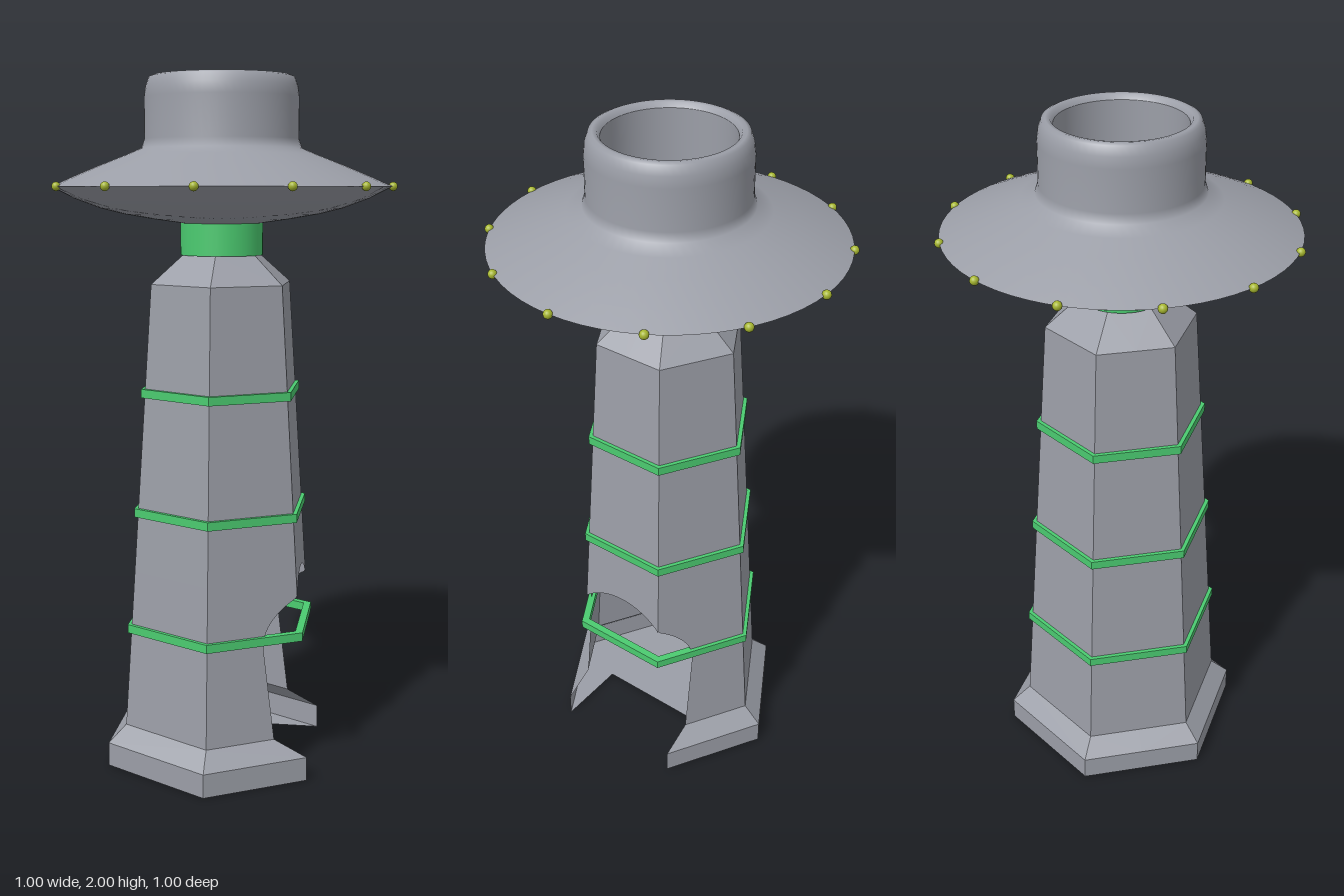
import * as THREE from 'three';

const S3 = Math.sqrt(3);
// tower outline: [height, hexagon corner radius]
const OUTLINE = [[0, 0.36], [0.07, 0.36], [0.12, 0.305], [1.42, 0.215], [1.5, 0.12]];
const ARCH = { half: 0.2, spring: 0.385, depth: 0.06 };

function radiusAt(y) {
  for (let i = 1; i < OUTLINE.length; i++) {
    const [y0, r0] = OUTLINE[i - 1], [y1, r1] = OUTLINE[i];
    if (y <= y1) return r0 + (r1 - r0) * (y - y0) / (y1 - y0);
  }
  return 0.12;
}

// half width of the doorway at a height
function doorAt(y) {
  if (y <= ARCH.spring) return ARCH.half;
  const d = y - ARCH.spring;
  return d < ARCH.half ? Math.sqrt(ARCH.half ** 2 - d * d) : 0;
}

// thin hexagonal shell, built one quarter at a time in horizontal rows
function wallGeometry() {
  const rows = OUTLINE.map(p => p[0]);
  for (let i = 0; i <= 32; i++) rows.push(ARCH.spring + ARCH.half * Math.sin(i / 32 * Math.PI / 2));
  rows.sort((a, b) => a - b);
  const pos = [];
  const quarter = (sx, sz, open) => {
    const point = (y, z) => {
      const r = radiusAt(y);
      return [sx * Math.min(r * S3 / 2, (r - z) * S3), y, sz * z];
    };
    const tri = (a, b, c) => (sx * sz > 0 ? pos.push(...a, ...b, ...c) : pos.push(...a, ...c, ...b));
    for (let i = 1; i < rows.length; i++) {
      const y0 = rows[i - 1], y1 = rows[i];
      const spans = [y0, y1].map(y => {
        const r = radiusAt(y), w = open ? doorAt(y) : 0;
        return [[Math.min(w, r / 2), r / 2], [Math.max(w, r / 2), r]];
      });
      for (let f = 0; f < 2; f++) {
        const [a0, b0] = spans[0][f], [a1, b1] = spans[1][f];
        const A = point(y0, a0), B = point(y0, b0), C = point(y1, b1), D = point(y1, a1);
        if (b0 - a0 > 1e-6) tri(A, C, B);
        if (b1 - a1 > 1e-6) tri(A, D, C);
      }
    }
  };
  for (const sx of [1, -1]) for (const sz of [1, -1]) quarter(sx, sz, sx > 0);
  const g = new THREE.BufferGeometry();
  g.setAttribute('position', new THREE.Float32BufferAttribute(pos, 3));
  g.computeVertexNormals();
  return g;
}

function hexPoints(r) {
  return Array.from({ length: 6 }, (_, i) => {
    const a = Math.PI / 2 + i * Math.PI / 3;
    return new THREE.Vector2(r * Math.cos(a), r * Math.sin(a));
  });
}

export function createModel() {
  const model = new THREE.Group();
  model.name = 'tower';
  const grey = new THREE.MeshStandardMaterial({ color: 0x9b9ea7, side: THREE.DoubleSide });
  grey.name = 'stone grey';
  const green = new THREE.MeshStandardMaterial({ color: 0x4bcb70 });
  green.name = 'bright green';
  const yellow = new THREE.MeshStandardMaterial({ color: 0xa6b62f });
  yellow.name = 'lamp yellow';
  const add = (name, geometry, material, y = 0) => {
    const mesh = new THREE.Mesh(geometry, material);
    mesh.name = name;
    mesh.position.y = y;
    model.add(mesh);
    return mesh;
  };

  // hollow tower with an arched doorway on its left side
  add('towerWall', wallGeometry(), grey);

  // floor notched by the doorway
  const h = ARCH.half, R = OUTLINE[0][1], edge = (R - h) * S3;
  const floor = new THREE.Shape([
    [ARCH.depth, h], [edge, h], [0, R], [-R * S3 / 2, R / 2],
    [-R * S3 / 2, -R / 2], [0, -R], [edge, -h], [ARCH.depth, -h],
  ].map(p => new THREE.Vector2(...p)));
  add('floor', new THREE.ShapeGeometry(floor).rotateX(Math.PI / 2), grey);

  // hexagonal bands around the tower
  for (const y of [0.415, 0.762, 1.11]) {
    const r = radiusAt(y) + 0.012;
    const band = new THREE.Shape(hexPoints(r));
    band.holes.push(new THREE.Path(hexPoints(r - 0.025)));
    const g = new THREE.ExtrudeGeometry(band, { depth: 0.025, bevelEnabled: false });
    add('band', g.rotateX(-Math.PI / 2), green, y - 0.0125);
  }

  // neck between tower and saucer
  add('neck', new THREE.CylinderGeometry(0.118, 0.118, 0.108, 48), green, 1.554);

  // saucer: underside, brim and collar
  const lathe = pts => new THREE.LatheGeometry(pts.map(p => new THREE.Vector2(...p)), 64);
  add('saucerUnderside', lathe([
    [0.115, 1.59], [0.2, 1.602], [0.28, 1.616], [0.345, 1.632], [0.42, 1.66], [0.485, 1.693],
  ]), grey);
  add('saucerTop', lathe([
    [0.485, 1.693], [0.42, 1.722], [0.34, 1.755], [0.27, 1.782], [0.228, 1.8], [0.219, 1.825],
    [0.219, 1.94], [0.215, 1.97], [0.206, 1.995], [0.195, 2], [0.183, 1.998], [0.175, 1.985],
  ]), grey);
  add('collarInside', lathe([[0.175, 1.985], [0.174, 1.605]]), grey);
  add('collarFloor', lathe([[0.174, 1.605], [0.115, 1.605]]), grey);

  // lamps around the brim
  const lamp = new THREE.SphereGeometry(0.0125, 16, 12);
  for (let i = 0; i < 12; i++) {
    const a = i * Math.PI / 6;
    const mesh = add('lamp', lamp, yellow, 1.693);
    mesh.position.x = 0.485 * Math.cos(a);
    mesh.position.z = 0.485 * Math.sin(a);
  }
  return model;
}
